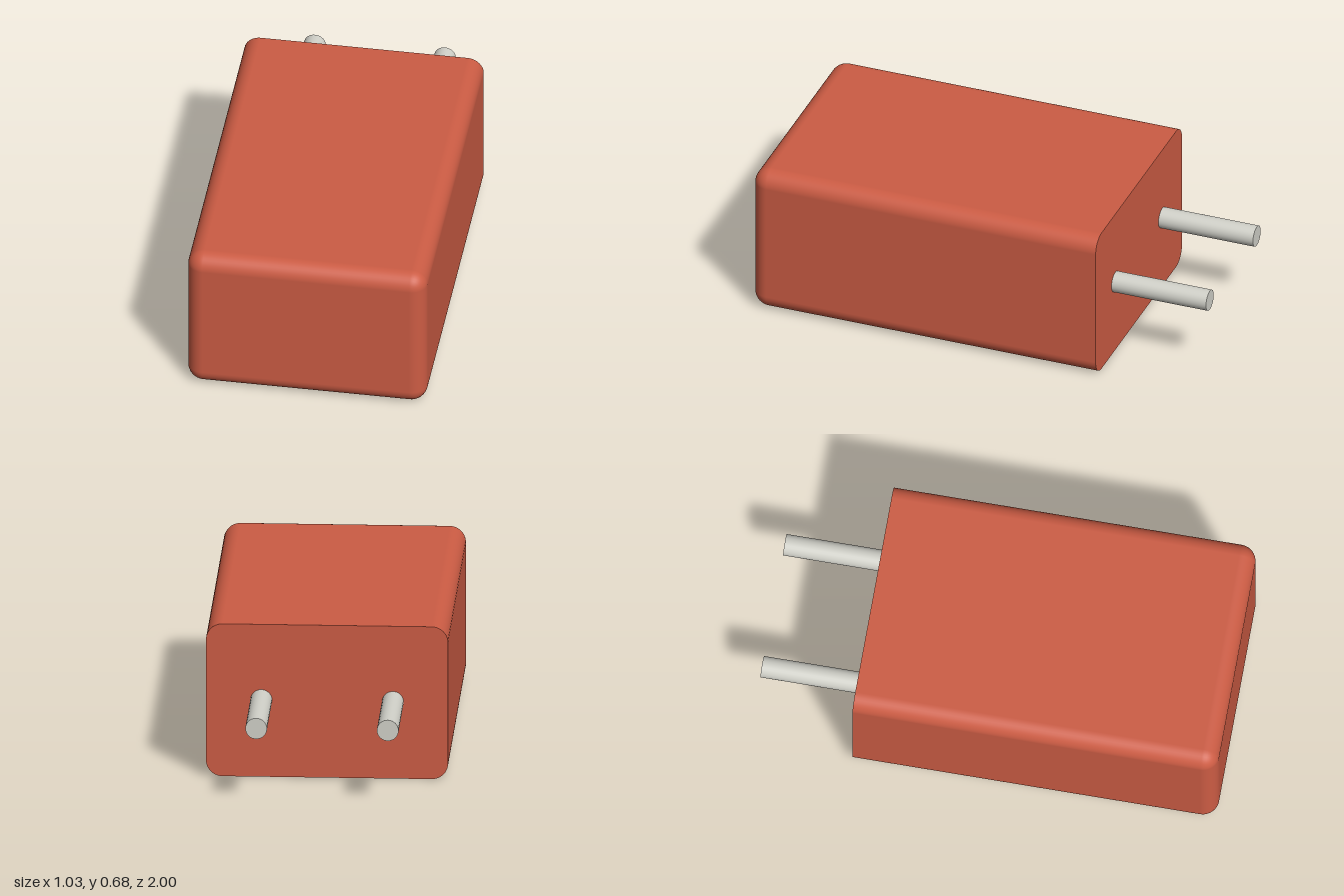
import * as THREE from 'three';
import { mergeGeometries } from 'three/addons/utils/BufferGeometryUtils.js';

const W = 1.03, H = 0.675, BACK = -0.57, FRONT = 1, R = 0.07, SEG = 10;

// Block with rounded long edges, a rounded front rim and a sharp flat back.
function bodyGeometry() {
  const pos = [], nor = [], idx = [];
  const perRing = 4 * (SEG + 1);
  const addRing = (phi, zBase) => {
    for (let c = 0; c < 4; c++) {
      const cx = (c === 0 || c === 3 ? 1 : -1) * (W / 2 - R);
      const cy = (c < 2 ? 1 : -1) * (H / 2 - R);
      for (let s = 0; s <= SEG; s++) {
        const t = (c + s / SEG) * Math.PI / 2;
        const n = [Math.cos(phi) * Math.cos(t), Math.cos(phi) * Math.sin(t), Math.sin(phi)];
        pos.push(cx + R * n[0], cy + R * n[1], zBase + R * n[2]);
        nor.push(...n);
      }
    }
  };
  addRing(0, BACK);
  for (let k = 0; k <= SEG; k++) addRing(k / SEG * Math.PI / 2, FRONT - R);
  for (let k = 0; k <= SEG; k++) {
    for (let i = 0; i < perRing; i++) {
      const j = (i + 1) % perRing;
      const a = k * perRing + i, b = k * perRing + j;
      idx.push(a, b, b + perRing, a, b + perRing, a + perRing);
    }
  }
  const shell = new THREE.BufferGeometry();
  shell.setAttribute('position', new THREE.Float32BufferAttribute(pos, 3));
  shell.setAttribute('normal', new THREE.Float32BufferAttribute(nor, 3));
  shell.setIndex(idx);

  // Flat front face inside the rounded rim
  const front = new THREE.PlaneGeometry(W - 2 * R, H - 2 * R).translate(0, 0, FRONT);

  // Flat back face follows the rounded outline
  const outline = [];
  for (let i = 0; i < perRing; i++) outline.push(new THREE.Vector2(pos[3 * i], pos[3 * i + 1]));
  const back = new THREE.ShapeGeometry(new THREE.Shape(outline)).rotateY(Math.PI).translate(0, 0, BACK);

  front.deleteAttribute('uv');
  back.deleteAttribute('uv');
  return mergeGeometries([shell, front, back]).translate(0, H / 2, 0);
}

export function createModel() {
  const model = new THREE.Group();
  model.name = 'twoPinBlock';

  const body = new THREE.Mesh(bodyGeometry(), new THREE.MeshStandardMaterial({ color: 0xcc5c44 }));
  body.name = 'body';
  model.add(body);

  // Two round pins out of the back, seated slightly inside the body
  const pinMaterial = new THREE.MeshStandardMaterial({ color: 0xd0d0c8 });
  const pinLength = 0.45;
  const pinGeometry = new THREE.CylinderGeometry(0.046, 0.046, pinLength, 32).rotateX(Math.PI / 2);
  for (const side of [1, -1]) {
    const pin = new THREE.Mesh(pinGeometry, pinMaterial);
    pin.name = side > 0 ? 'leftPin' : 'rightPin';
    pin.position.set(side * 0.28, 0.34, -1 + pinLength / 2);
    model.add(pin);
  }
  return model;
}
